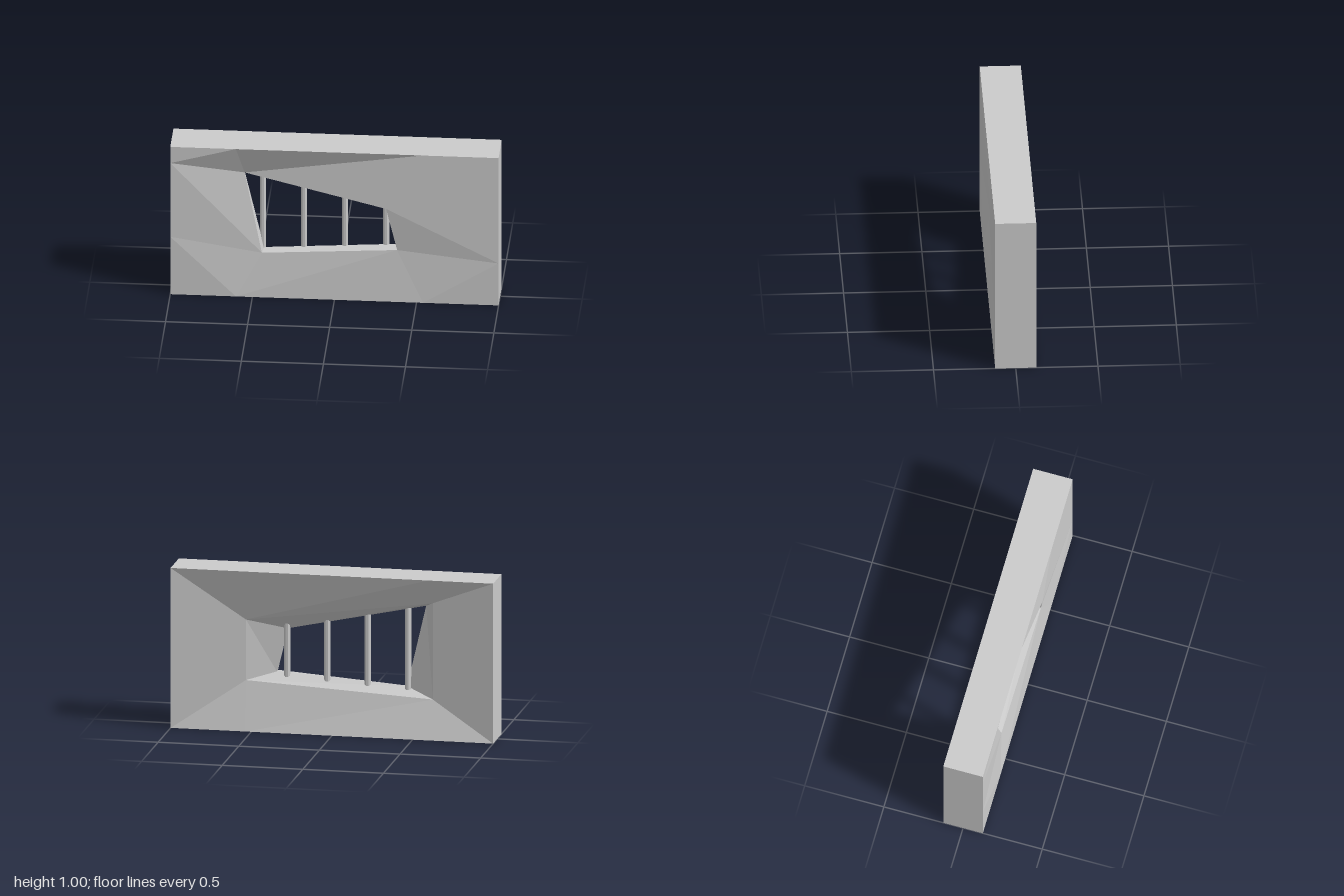
import * as THREE from 'three';

// Opening corners, ordered bottom left, bottom right, top right, top left (seen from the front)
const FRONT_RIM = [[-0.445, 0.283, 0.085], [0.38, 0.34, 0.1], [0.315, 0.63, 0.127], [-0.553, 0.805, 0.047]];
const MID_RIM = [[-0.435, 0.295, 0.03], [0.372, 0.347, 0.03], [0.306, 0.62, 0.03], [-0.553, 0.803, 0.03]];
const BACK_RIM = [[-0.61, 0.238, -0.047], [0.55, 0.302, -0.045], [0.55, 0.68, -0.042], [-0.61, 0.84, -0.047]];
const HALF_DEPTH = 0.125;

function quadMesh(name, quads, material) {
  const positions = [];
  for (const [a, b, c, d] of quads) positions.push(...a, ...b, ...c, ...a, ...c, ...d);
  const geometry = new THREE.BufferGeometry();
  geometry.setAttribute('position', new THREE.Float32BufferAttribute(positions, 3));
  geometry.computeVertexNormals();
  const mesh = new THREE.Mesh(geometry, material);
  mesh.name = name;
  return mesh;
}

// Outer edge of a wall face with its seam points, counterclockwise from the bottom left
const outline = (z) => [
  [-1, 0], [-0.6, 0], [0.54, 0], [1, 0], [1, 0.285], [1, 0.61],
  [1, 1], [0.54, 1], [-0.6, 1], [-1, 1], [-1, 0.89], [-1, 0.39],
].map(([x, y]) => [x, y, z]);

// Eight slanted panels between the outline and the opening
function facePanels(edge, rim) {
  const quads = [];
  for (let i = 0; i < 4; i++) {
    const k = i * 3;
    const at = (n) => edge[(k + n + 12) % 12];
    quads.push([at(-1), at(0), at(1), rim[i]]);
    quads.push([at(1), at(2), rim[(i + 1) % 4], rim[i]]);
  }
  return quads;
}

// Band of quads joining two loops of equal length
const band = (a, b) => a.map((p, i) => {
  const j = (i + 1) % a.length;
  return [p, a[j], b[j], b[i]];
});

export function createModel() {
  const group = new THREE.Group();
  group.name = 'barredWindowWall';
  const material = new THREE.MeshStandardMaterial({ color: 0xcccccc, flatShading: true });

  // Wall faces and outer sides
  const front = outline(HALF_DEPTH);
  const back = outline(-HALF_DEPTH);
  group.add(quadMesh('wallFront', facePanels(front, FRONT_RIM), material));
  group.add(quadMesh('wallBack', facePanels(back, BACK_RIM).map((q) => q.reverse()), material));
  group.add(quadMesh('wallSides', band(back, front), material));

  // Lining of the crooked opening
  group.add(quadMesh('windowLining', [...band(FRONT_RIM, MID_RIM), ...band(MID_RIM, BACK_RIM)], material));

  // Octagonal bars, with their ends sunk into the sill and the lintel
  const heightOn = ([x0, y0], [x1, y1], x) => y0 + (y1 - y0) * (x - x0) / (x1 - x0);
  for (let i = 0; i < 4; i++) {
    const x = -0.443 + i * 0.25;
    const bottom = heightOn(MID_RIM[0], MID_RIM[1], x) - 0.06;
    const top = heightOn(MID_RIM[3], MID_RIM[2], x) + 0.08;
    const bar = new THREE.Mesh(new THREE.CylinderGeometry(0.02, 0.02, top - bottom, 8), material);
    bar.name = `bar${i + 1}`;
    bar.rotation.y = Math.PI / 8;
    bar.position.set(x, (bottom + top) / 2, 0.02);
    group.add(bar);
  }
  return group;
}
